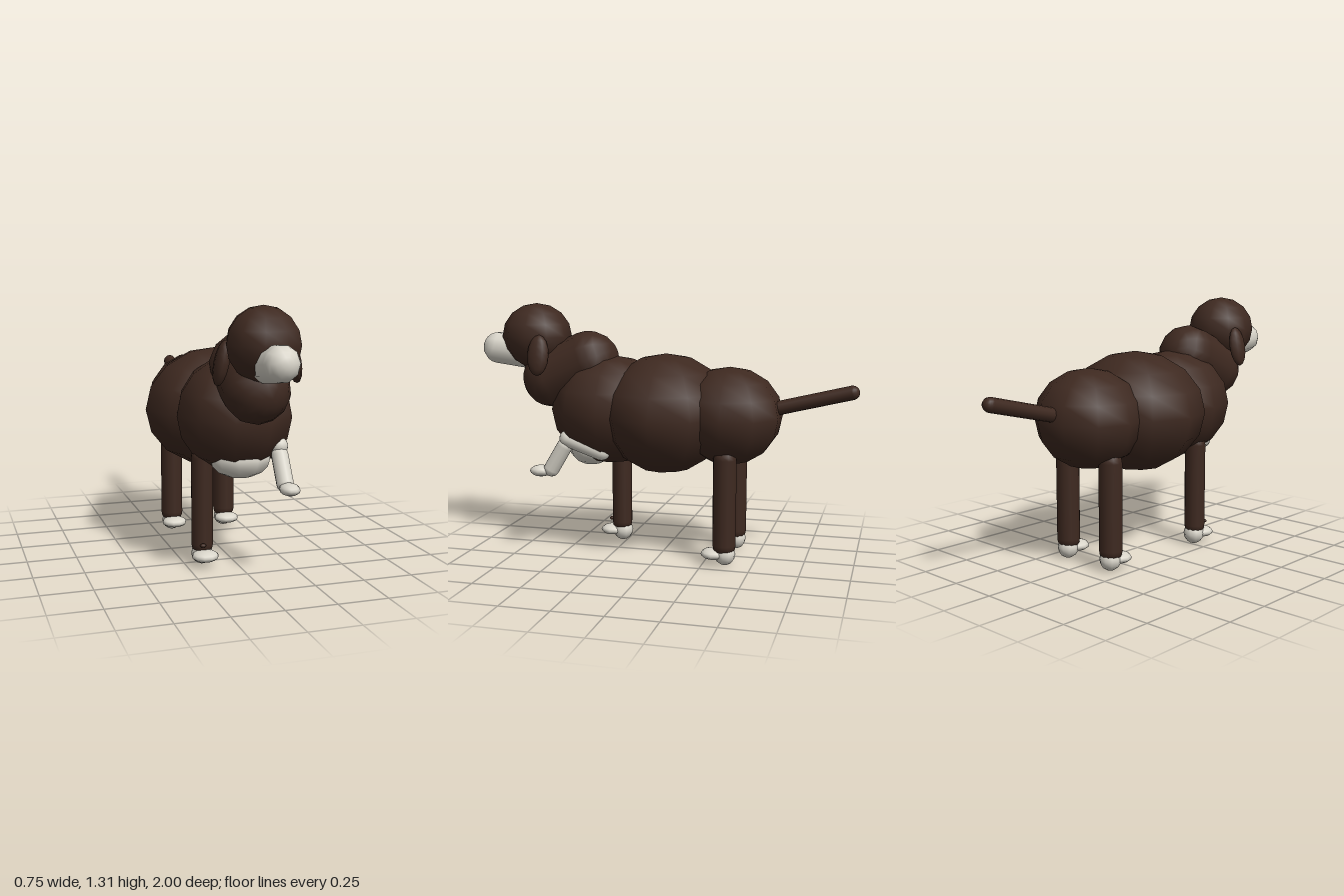
import * as THREE from 'three';

const brown = new THREE.MeshStandardMaterial({ color: 0x3e2920 });
const white = new THREE.MeshStandardMaterial({ color: 0xd9d5ca });

export function createModel() {
  const model = new THREE.Group();

  const add = (name, geometry, material) => {
    const mesh = new THREE.Mesh(geometry, material);
    mesh.name = name;
    model.add(mesh);
    return mesh;
  };

  // Ellipsoid given by centre and radii
  const ball = (name, material, center, radii, segments = 10, rings = 8) => {
    const mesh = add(name, new THREE.SphereGeometry(1, segments, rings), material);
    mesh.position.set(...center);
    mesh.scale.set(...radii);
    return mesh;
  };

  // Round-ended limb between the centres of its two caps
  const limb = (name, material, from, to, radius, segments = 12) => {
    const a = new THREE.Vector3(...from);
    const b = new THREE.Vector3(...to);
    const mesh = add(name, new THREE.CapsuleGeometry(radius, a.distanceTo(b), 5, segments), material);
    mesh.position.copy(a).lerp(b, 0.5);
    mesh.quaternion.setFromUnitVectors(new THREE.Vector3(0, 1, 0), b.sub(a).normalize());
    return mesh;
  };

  // Torso
  ball('belly', brown, [0, 0.745, -0.015], [0.375, 0.31, 0.34]);
  ball('chest', brown, [0, 0.755, 0.28], [0.29, 0.285, 0.32]);
  ball('rump', brown, [0, 0.745, -0.35], [0.28, 0.25, 0.275]);
  ball('chestPatch', white, [0, 0.555, 0.39], [0.155, 0.1, 0.125]);

  // Neck and head
  limb('neck', brown, [0, 1.005, 0.405], [0, 0.915, 0.608], 0.16);
  ball('head', brown, [0, 1.132, 0.695], [0.174, 0.174, 0.185]);
  limb('snout', white, [0, 1.045, 0.75], [0, 1.067, 0.915], 0.085, 10);
  for (const side of [1, -1]) {
    const ear = ball(side > 0 ? 'leftEar' : 'rightEar', brown,
      [side * 0.173, 1.045, 0.623], [0.033, 0.106, 0.058]);
    ear.rotation.z = side * 0.2;
  }

  // Tail
  limb('tail', brown, [0, 0.78, -0.55], [0, 0.882, -0.965], 0.036);

  // Standing legs, each with a sock and a paw
  const legs = [
    ['rightFront', -0.163, 0.278, 0.055],
    ['rightRear', -0.152, -0.358, 0.06],
    ['leftRear', 0.152, -0.358, 0.06],
  ];
  for (const [name, x, z, r] of legs) {
    limb(name + 'Leg', brown, [x, 0.105, z], [x, 0.545, z], r);
    ball(name + 'Sock', white, [x, 0.055, z - 0.004], [0.055, 0.055, 0.055]);
    ball(name + 'Paw', white, [x, 0.055, z + 0.055], [0.068, 0.029, 0.065]);
  }
  ball('dewclaw', brown, [-0.177, 0.112, 0.343], [0.016, 0.01, 0.014]);

  // Raised left front leg
  limb('raisedUpperLeg', white, [0.17, 0.555, 0.285], [0.168, 0.617, 0.467], 0.045);
  limb('raisedForeleg', white, [0.165, 0.575, 0.488], [0.165, 0.452, 0.562], 0.042);
  ball('raisedPaw', white, [0.165, 0.438, 0.622], [0.05, 0.03, 0.06]);

  return model;
}
